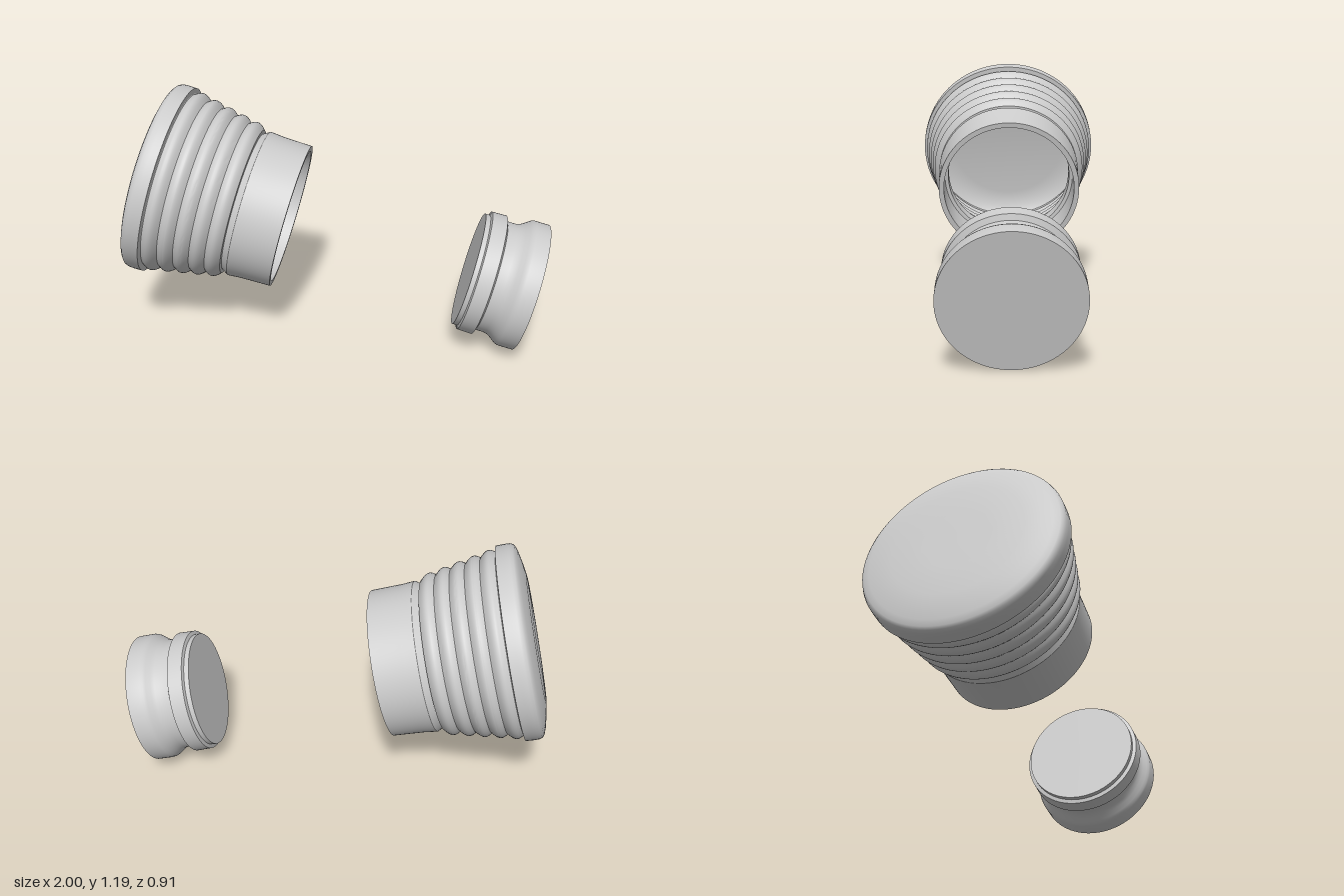
import * as THREE from 'three';
import { toCreasedNormals } from 'three/addons/utils/BufferGeometryUtils.js';

const TILT = THREE.MathUtils.degToRad(14.2);

// Turned part: profile pairs are [radius, distance along the axis]
function turned(name, profile, material) {
  const points = profile.map(([r, h]) => new THREE.Vector2(r, h));
  const geometry = toCreasedNormals(new THREE.LatheGeometry(points, 96), 0.55);
  const mesh = new THREE.Mesh(geometry, material);
  mesh.name = name;
  return mesh;
}

// Row of rounded ribs tapering from the rim towards the neck
function ribs(offset, from, to, count) {
  const out = [];
  const steps = 8;
  for (let i = 0; i <= count * steps; i++) {
    const h = from + (to - from) * i / (count * steps);
    const bump = Math.abs(Math.sin(Math.PI * i / steps));
    out.push([0.42 - 0.2 * (h + 0.56) + 0.02 * bump - offset, h]);
  }
  return out;
}

export function createModel() {
  const model = new THREE.Group();
  model.name = 'cupAndPlug';
  const grey = new THREE.MeshStandardMaterial({ color: 0xcccccc });
  grey.name = 'light grey';

  // Hollow cup: domed back, rim, ribbed body, collar, neck, then the inside wall
  const cup = new THREE.Group();
  cup.name = 'cup';
  cup.add(turned('cupShell', [
    [0, -0.722], [0.16, -0.722], [0.3, -0.719], [0.36, -0.709], [0.41, -0.698],
    [0.437, -0.689], [0.449, -0.68], [0.455, -0.665], [0.456, -0.64], [0.455, -0.603],
    [0.43, -0.6],
    ...ribs(0, -0.598, -0.24, 5),
    [0.338, -0.238], [0.357, -0.207], [0.356, -0.19], [0.352, -0.145], [0.348, 0],
    [0.323, 0], [0.325, -0.17], [0.308, -0.175], [0.308, -0.238],
    ...ribs(0.025, -0.598, -0.24, 5).reverse(),
    [0.415, -0.65], [0.38, -0.68], [0.3, -0.695], [0, -0.698],
  ], grey));
  cup.position.set(-0.225, 0.5875, 0);

  // Solid plug: inner end, bead, waist and flared outer end
  const plug = new THREE.Group();
  plug.name = 'plug';
  plug.add(turned('plugBody', [
    [0, -0.303], [0.273, -0.303], [0.273, -0.28], [0.291, -0.275], [0.293, -0.204],
    [0.268, -0.194], [0.268, -0.15], [0.273, -0.13], [0.283, -0.113], [0.296, -0.095],
    [0.304, -0.083], [0.308, -0.07], [0.308, 0], [0, 0],
  ], grey));
  plug.position.set(0.9225, 0.3025, 0);

  // Both axes point right and slope downwards
  for (const part of [cup, plug]) {
    part.rotation.z = -Math.PI / 2 - TILT;
    model.add(part);
  }
  return model;
}
